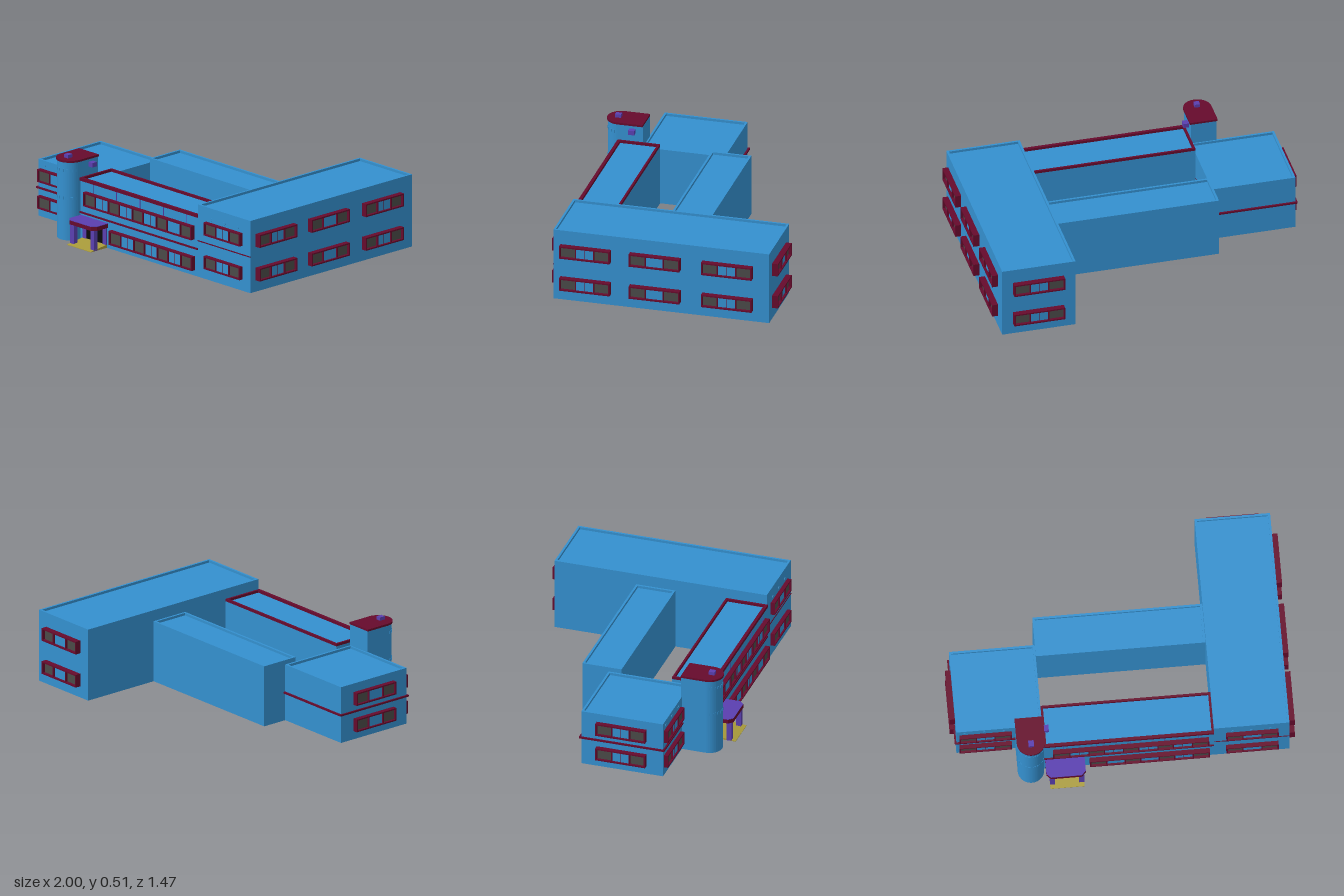
import * as THREE from 'three';
import { toCreasedNormals } from 'three/addons/utils/BufferGeometryUtils.js';

const paint = (color) => new THREE.MeshStandardMaterial({ color });
const BLUE = paint(0x3490cf), RED = paint(0x660a2c), PURPLE = paint(0x5a3fb0);
const YELLOW = paint(0xa89a3a), GLASS = paint(0x4a4a48), BLACK = paint(0x0c0c0c);

function add(parent, name, geometry, material) {
  const mesh = new THREE.Mesh(geometry, material);
  mesh.name = name;
  parent.add(mesh);
  return mesh;
}

// Box given by its extents
function block(parent, name, material, x0, x1, y0, y1, z0, z1) {
  const g = new THREE.BoxGeometry(x1 - x0, y1 - y0, z1 - z0);
  g.translate((x0 + x1) / 2, (y0 + y1) / 2, (z0 + z1) / 2);
  return add(parent, name, g, material);
}

// Rectangular outline w x h with a border of width t
function ring(x0, x1, y0, y1, t) {
  const rect = (C, a, b, c, d) => new C([[a, c], [b, c], [b, d], [a, d]].map((p) => new THREE.Vector2(...p)));
  const s = rect(THREE.Shape, x0, x1, y0, y1);
  s.holes.push(rect(THREE.Path, x0 + t, x1 - t, y0 + t, y1 - t));
  return s;
}

const extrude = (shape, depth) =>
  new THREE.ExtrudeGeometry(shape, { depth, bevelEnabled: false, curveSegments: 24 });

// Plan shape (x, -z) raised from y0 to y1
function raise(parent, name, material, shape, y0, y1) {
  const g = extrude(shape, y1 - y0);
  g.rotateX(-Math.PI / 2);
  g.translate(0, y0, 0);
  return add(parent, name, toCreasedNormals(g, 0.5), material);
}

// Building wing with a slightly sunken roof behind a parapet
function wing(parent, name, x0, x1, z0, z1, h, trim = BLUE) {
  const g = new THREE.Group();
  g.name = name;
  const rim = 0.015;
  block(g, 'walls', BLUE, x0, x1, 0, h - rim, z0, z1);
  raise(g, 'parapet', trim, ring(x0, x1, -z1, -z0, 0.013), h - rim, h);
  parent.add(g);
}

// Projecting window band: glass panes every 0.2 with wall panels between
function windowBand(parent, name, width, height, depth, x, y, z, turn = 0) {
  const g = new THREE.Group();
  g.name = name;
  const t = 0.008, pane = 0.09, w = width / 2, h = height / 2;
  add(g, 'frame', extrude(ring(-w, w, -h, h, t), depth), RED);
  const gaps = Math.round((width - pane) / 0.2);
  const step = (width - pane - 2 * t) / gaps;
  for (let i = 0; i <= gaps; i++) {
    const a = -w + t + i * step;
    block(g, 'pane', GLASS, a, a + pane, -h + t, h - t, 0, depth * 0.5);
    if (i === gaps) break;
    const b = a + pane, c = a + step, m = (b + c) / 2;
    block(g, 'panel', BLUE, b, c, -h + t, h - t, 0, depth * 0.6);
    for (const p of [b, c]) block(g, 'mullion', RED, p - 0.003, p + 0.003, -h + t, h - t, 0, depth * 0.9);
    block(g, 'panelJoint', RED, m - 0.001, m + 0.001, -h + t, h - t, 0, depth * 0.63);
  }
  g.position.set(x, y, z);
  g.rotation.y = turn;
  parent.add(g);
}

// Plan of the tower: square at the back, round at the front
function towerPlan(cx, r, back, cz) {
  const s = new THREE.Shape();
  s.moveTo(cx - r, -back);
  s.lineTo(cx - r, -cz);
  s.absarc(cx, -cz, r, Math.PI, 2 * Math.PI, false);
  s.lineTo(cx + r, -back);
  s.closePath();
  return s;
}

export function createModel() {
  const model = new THREE.Group();
  model.name = 'building';

  // Four wings around an open courtyard
  wing(model, 'eastWing', 0.52, 0.96, -0.7, 0.6, 0.44);
  wing(model, 'frontWing', -0.47, 0.52, 0.35, 0.6, 0.378, RED);
  wing(model, 'backWing', -0.47, 0.52, -0.2, 0.04, 0.372);
  wing(model, 'westWing', -0.97, -0.47, -0.04, 0.46, 0.345);

  // Belt courses and front eave
  block(model, 'westBelt', RED, -0.98, -0.47, 0.168, 0.178, -0.052, 0.47);
  block(model, 'frontBelt', RED, -0.47, 0.52, 0.163, 0.173, 0.59, 0.607);
  block(model, 'eastBelt', RED, 0.52, 0.96, 0.217, 0.223, 0.59, 0.603);
  block(model, 'frontEave', RED, -0.47, 0.52, 0.36, 0.378, 0.59, 0.606);

  // Window bands
  for (const y of [0.108, 0.313]) {
    for (const z of [0.405, -0.015, -0.45]) windowBand(model, 'eastWindow', 0.305, 0.078, 0.035, 0.96, y, z, Math.PI / 2);
    windowBand(model, 'eastFrontWindow', 0.305, 0.078, 0.025, 0.743, y, 0.6);
    windowBand(model, 'eastBackWindow', 0.305, 0.078, 0.035, 0.743, y, -0.7, Math.PI);
  }
  for (const y of [0.09, 0.253]) {
    windowBand(model, 'westFrontWindow', 0.305, 0.078, 0.025, -0.8, y, 0.46);
    windowBand(model, 'westWindow', 0.305, 0.078, 0.03, -0.97, y, 0.207, -Math.PI / 2);
  }
  windowBand(model, 'frontUpperWindow', 0.91, 0.084, 0.028, 0.035, 0.262, 0.6);
  windowBand(model, 'frontLowerWindow', 0.7, 0.084, 0.028, 0.145, 0.076, 0.6);

  // Round wall vents and thin wall strips
  const vents = [[-0.92, 0.313, 0.46], [-0.805, 0.313, 0.46], [-0.69, 0.313, 0.46],
    [0.63, 0.372, 0.6], [0.74, 0.372, 0.6], [0.85, 0.372, 0.6]];
  for (const [x, y, z] of vents) {
    const vent = add(model, 'vent', new THREE.CylinderGeometry(0.01, 0.01, 0.006, 16), BLUE);
    vent.rotation.x = Math.PI / 2;
    vent.position.set(x, y, z);
  }
  for (let i = 0; i < 5; i++) {
    const x = -0.36 + i * 0.197;
    block(model, 'wallStrip', PURPLE, x - 0.0015, x + 0.0015, 0.304, 0.36, 0.598, 0.603);
  }

  // Stair tower with cap
  const cx = -0.548, cz = 0.605, r = 0.077;
  raise(model, 'tower', BLUE, towerPlan(cx, r, 0.455, cz), 0, 0.475);
  raise(model, 'towerCap', RED, towerPlan(cx, r + 0.006, 0.455, cz), 0.475, 0.487);
  block(model, 'capBox', PURPLE, cx - 0.016, cx + 0.016, 0.487, 0.507, 0.604, 0.64);
  block(model, 'towerSideBox', PURPLE, -0.475, -0.437, 0.43, 0.457, 0.498, 0.535);

  // Small tower windows around the curve
  for (const y of [0.255, 0.425]) {
    for (const a of [-1.2, -0.9, -0.5, -0.2, 0.2, 0.5, 0.9, 1.2]) {
      const slot = add(model, 'towerWindow', new THREE.BoxGeometry(0.014, 0.018, 0.004), BLUE);
      slot.position.set(cx + r * Math.sin(a), y, cz + r * Math.cos(a));
      slot.rotation.y = a;
    }
  }

  // Entrance: door, chamfered canopy, posts and ramp
  block(model, 'door', BLACK, -0.415, -0.275, 0, 0.112, 0.59, 0.603);
  for (const x of [-0.43, -0.26]) {
    block(model, 'doorJamb', PURPLE, x - 0.015, x + 0.015, 0, 0.125, 0.59, 0.608);
    block(model, 'canopyPost', PURPLE, x - 0.015, x + 0.015, 0, 0.125, 0.675, 0.705);
  }
  const canopy = new THREE.Shape([[-0.465, -0.595], [-0.465, -0.69], [-0.44, -0.715], [-0.26, -0.715],
    [-0.235, -0.69], [-0.235, -0.595]].map((p) => new THREE.Vector2(...p)));
  raise(model, 'canopyFascia', RED, canopy, 0.124, 0.148);
  raise(model, 'canopyTop', PURPLE, canopy, 0.148, 0.151);

  const slope = new THREE.Shape([[0.595, 0], [0.73, 0], [0.73, 0.003], [0.595, 0.02]].map((p) => new THREE.Vector2(...p)));
  const ramp = extrude(slope, 0.2);
  ramp.rotateY(-Math.PI / 2);
  ramp.translate(-0.245, 0, 0);
  add(model, 'entranceRamp', ramp, YELLOW);

  return model;
}
